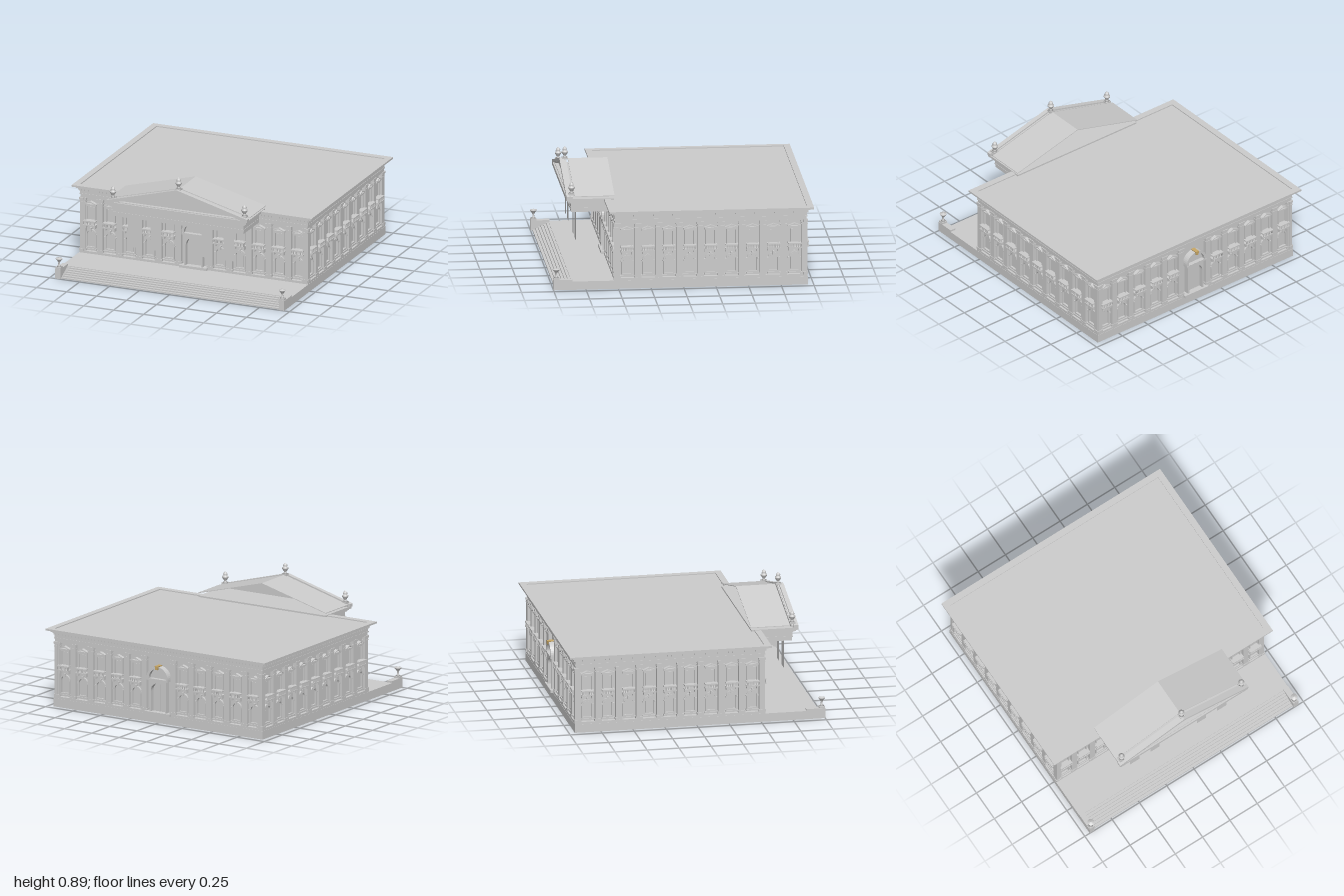
import * as THREE from 'three';
import { mergeGeometries } from 'three/addons/utils/BufferGeometryUtils.js';

const stone = new THREE.MeshStandardMaterial({ color: 0xcccccc });
const sheet = new THREE.MeshStandardMaterial({ color: 0xcccccc, side: THREE.DoubleSide });
const gold = new THREE.MeshStandardMaterial({ color: 0xc8a765 });

// Box given by its min and max corners
function box(x0, x1, y0, y1, z0, z1) {
  return new THREE.BoxGeometry(x1 - x0, y1 - y0, z1 - z0)
    .translate((x0 + x1) / 2, (y0 + y1) / 2, (z0 + z1) / 2);
}
function part(name, geos, material = stone) {
  const list = [].concat(geos).map((g) => (g.index ? g.toNonIndexed() : g));
  const mesh = new THREE.Mesh(mergeGeometries(list), material);
  mesh.name = name;
  return mesh;
}
function poly(points, Type = THREE.Shape) {
  return new Type(points.map(([x, y]) => new THREE.Vector2(x, y)));
}
function rect(x, y0, y1, Type) {
  return poly([[-x, y0], [x, y0], [x, y1], [-x, y1]], Type);
}
// Round-headed outline: straight sides up to the springing line, then a half circle
function arch(r, y0, spring, Type = THREE.Shape) {
  const s = new Type();
  s.moveTo(-r, y0);
  s.lineTo(r, y0);
  s.lineTo(r, spring);
  s.absarc(0, spring, r, 0, Math.PI, false);
  s.closePath();
  return s;
}
function extrude(shape, depth, hole, z = 0) {
  if (hole) shape.holes.push(hole);
  return new THREE.ExtrudeGeometry(shape, { depth, bevelEnabled: false, curveSegments: 10 }).translate(0, 0, z);
}
function lathe(points, sides = 12) {
  return new THREE.LatheGeometry(points.map(([r, y]) => new THREE.Vector2(r, y)), sides);
}

// Arched ground floor window: surround, sill and keystone
function lowerWindow() {
  return [
    extrude(arch(0.042, 0.1, 0.215), 0.016, arch(0.033, 0.115, 0.213, THREE.Path)),
    extrude(arch(0.027, 0.12, 0.212), 0.004),
    box(-0.048, 0.048, 0.09, 0.103, 0, 0.024),
    box(-0.006, 0.006, 0.24, 0.268, 0, 0.022),
    box(-0.05, -0.04, 0.207, 0.217, 0, 0.02),
    box(0.04, 0.05, 0.207, 0.217, 0, 0.02),
  ];
}
// First floor window: frame, low pediment and balustraded balcony
function upperWindow() {
  const geos = [
    extrude(rect(0.041, 0.325, 0.45), 0.016, rect(0.032, 0.33, 0.44, THREE.Path)),
    box(-0.027, 0.027, 0.335, 0.434, 0, 0.004),
    box(-0.046, 0.046, 0.45, 0.458, 0, 0.024),
    extrude(poly([[-0.05, 0.458], [0.05, 0.458], [0.05, 0.465], [0, 0.485], [-0.05, 0.465]]), 0.028,
      poly([[-0.034, 0.463], [0.034, 0.463], [0, 0.477]], THREE.Path)),
    box(-0.05, 0.05, 0.29, 0.3, 0, 0.048),
    box(-0.05, 0.05, 0.323, 0.333, 0, 0.048),
  ];
  for (let i = -3; i <= 3; i++) {
    geos.push(new THREE.CylinderGeometry(0.004, 0.004, 0.025, 6).translate(i * 0.0145, 0.311, 0.041));
  }
  for (const s of [-1, 1]) geos.push(box(s * 0.038 - 0.006, s * 0.038 + 0.006, 0.268, 0.29, 0, 0.034));
  return geos;
}
function pilaster() {
  return [
    box(-0.023, 0.023, 0.08, 0.51, 0, 0.028),
    box(-0.028, 0.028, 0.08, 0.1, 0, 0.032),
    box(-0.026, 0.026, 0.475, 0.481, 0, 0.031),
    box(-0.028, 0.028, 0.495, 0.512, 0, 0.033),
  ];
}
// Doorway with arched opening and a semicircular hood
function doorway() {
  const g = new THREE.Group();
  g.name = 'doorway';
  g.add(
    part('doorFrame', [
      extrude(rect(0.077, 0.08, 0.335), 0.04, arch(0.064, 0.081, 0.247, THREE.Path)),
      box(-0.115, 0.115, 0.065, 0.085, 0, 0.055),
      box(-0.095, 0.095, 0.333, 0.347, 0, 0.052),
    ]),
    part('door', [
      extrude(arch(0.062, 0.085, 0.247), 0.006),
      box(-0.003, 0.003, 0.085, 0.305, 0, 0.01),
    ]),
    part('doorHood', [
      extrude(arch(0.096, 0.347, 0.35), 0.05, arch(0.076, 0.3475, 0.35, THREE.Path)),
      extrude(arch(0.076, 0.347, 0.35), 0.02),
    ]),
    part('keystone', extrude(poly([[-0.01, 0.422], [0.01, 0.422], [0.016, 0.452], [-0.016, 0.452]]), 0.06), gold),
  );
  return g;
}

// One wall face built towards +z, with the bays and pilasters at given places
function facade(name, bays, pilasters, hasDoor) {
  const g = new THREE.Group();
  g.name = name;
  const place = (label, make, spots) =>
    g.add(part(label, spots.flatMap((x) => make().map((q) => q.translate(x, 0, 0)))));
  place('lowerWindows', lowerWindow, bays);
  place('upperWindows', upperWindow, bays);
  place('pilasters', pilaster, pilasters);
  if (hasDoor) g.add(doorway());
  return g;
}

// Stepped entablature; each tier is [y0, y1, overhang]
function tiers(x, z0, z1, steps, backOut = 1) {
  return steps.map(([y0, y1, d]) => box(-x - d, x + d, y0, y1, z0 - d * backOut, z1 + d));
}
function urn(name, x, y, z, profile) {
  const m = part(name, [lathe(profile), box(-0.022, 0.022, 0, 0.014, -0.022, 0.022)]);
  m.position.set(x, y, z);
  return m;
}

export function createModel() {
  const model = new THREE.Group();
  model.name = 'columnlessPorticoBuilding';

  // Platform, plinth and main block
  model.add(part('platform', box(-0.955, 0.955, 0, 0.065, -0.955, 0.86)));
  model.add(part('plinth', box(-0.953, 0.953, 0.065, 0.083, -0.953, 0.533)));
  model.add(part('walls', box(-0.92, 0.92, 0.08, 0.515, -0.92, 0.5)));

  // Front stairs between cheek walls with bowls
  const steps = [];
  for (let i = 0; i < 6; i++) steps.push(box(-0.912, 0.912, 0, 0.06 - i * 0.01, 0.85, 0.88 + i * 0.021));
  model.add(part('stairs', steps));
  const bowl = [[0, 0], [0.018, 0.014], [0.008, 0.026], [0.007, 0.045], [0.014, 0.06],
    [0.026, 0.074], [0.027, 0.08], [0.01, 0.083], [0, 0.09]];
  for (const s of [-1, 1]) {
    model.add(part('cheekWall', [
      box(s * 0.933 - 0.022, s * 0.933 + 0.022, 0, 0.074, 0.855, 1),
      box(s * 0.933 - 0.023, s * 0.933 + 0.023, 0.07, 0.08, 0.853, 1),
    ]));
    model.add(urn('stairBowl', s * 0.93, 0.08, 0.977, bowl));
  }

  // Facades
  const mirrored = (list) => [...list.map((v) => -v), ...list];
  const wideBays = mirrored([0, 1, 2, 3, 4].map((k) => 0.214 + 0.163 * k));
  const widePilasters = mirrored([0, 1, 2, 3, 4, 5].map((k) => Math.min(0.132 + 0.163 * k, 0.927)));
  const sideBays = [...Array(9).keys()].map((k) => (k - 4) * 0.161);
  const sidePilasters = [...Array(10).keys()].map((k) => (k - 4.5) * 0.16);
  const front = facade('frontFacade', wideBays, widePilasters, true);
  front.position.z = 0.5;
  const back = facade('backFacade', wideBays, widePilasters, true);
  back.position.z = -0.92;
  back.rotation.y = Math.PI;
  model.add(front, back);
  for (const s of [-1, 1]) {
    const side = facade('sideFacade', sideBays, sidePilasters, false);
    side.position.set(s * 0.92, 0, -0.21);
    side.rotation.y = s * Math.PI / 2;
    model.add(side);
  }

  // Main entablature, dentils, cornice rim and sunken flat roof
  const profile = [[0.508, 0.535, 0], [0.535, 0.545, 0.006], [0.545, 0.58, 0.003], [0.58, 0.59, 0.014], [0.59, 0.603, 0.026]];
  model.add(part('entablature', tiers(0.947, -0.947, 0.527, profile)));
  const dentils = [];
  for (let i = 0; i < 64; i++) {
    const t = (i - 31.5) * 0.03;
    dentils.push(box(t - 0.008, t + 0.008, 0.568, 0.58, -0.96, 0.54));
    if (i < 50) {
      const z = -0.21 + (i - 24.5) * 0.03;
      dentils.push(box(-0.96, 0.96, 0.568, 0.58, z - 0.008, z + 0.008));
    }
  }
  model.add(part('dentils', dentils));
  const rim = extrude(rect(1, -0.575, 1), 0.014, rect(0.95, -0.525, 0.95, THREE.Path));
  model.add(part('corniceRim', rim.rotateX(-Math.PI / 2).translate(0, 0.602, 0)));
  model.add(part('flatRoof', box(-0.96, 0.96, 0.598, 0.608, -0.96, 0.535)));

  // Portico entablature and cornice
  model.add(part('porticoEntablature', tiers(0.54, 0.5, 0.825, [...profile, [0.602, 0.62, 0.04]], 0)));

  // Pediment: raking cornice in two steps, tympanum and gable roof sheets
  const gable = (x, y0, y1, top, Type) => poly([[-x, y0], [x, y0], [x, y1], [0, top], [-x, y1]], Type);
  model.add(part('rakingCornice', [
    extrude(gable(0.588, 0.619, 0.642, 0.802), 0.035, gable(0.53, 0.63, 0.634, 0.777, THREE.Path), 0.83),
    extrude(gable(0.57, 0.619, 0.636, 0.79), 0.034, gable(0.49, 0.636, 0.638, 0.765, THREE.Path), 0.818),
  ]));
  model.add(part('tympanum', extrude(gable(0.56, 0.619, 0.634, 0.785), 0.012, null, 0.812)));
  model.add(part('gableRoof', extrude(
    poly([[-0.585, 0.638], [0, 0.793], [0.585, 0.638], [0.585, 0.643], [0, 0.798], [-0.585, 0.643]]),
    0.305, null, 0.495), sheet));

  // Roof urns at the apex and the two ends
  const vase = [[0, 0], [0.02, 0.014], [0.009, 0.022], [0.012, 0.032], [0.025, 0.052], [0.025, 0.06],
    [0.013, 0.068], [0.018, 0.075], [0.014, 0.086], [0, 0.1]];
  model.add(urn('apexUrn', 0, 0.793, 0.823, vase));
  for (const s of [-1, 1]) {
    model.add(urn('cornerUrn', s * 0.548, 0.648, 0.823, vase));
    // Hanging banners below the portico
    for (const x of [0.213, 0.398]) {
      const banner = part('banner', new THREE.PlaneGeometry(0.085, 0.25), sheet);
      banner.position.set(s * x, 0.385, 0.78);
      model.add(banner);
    }
  }
  return model;
}
